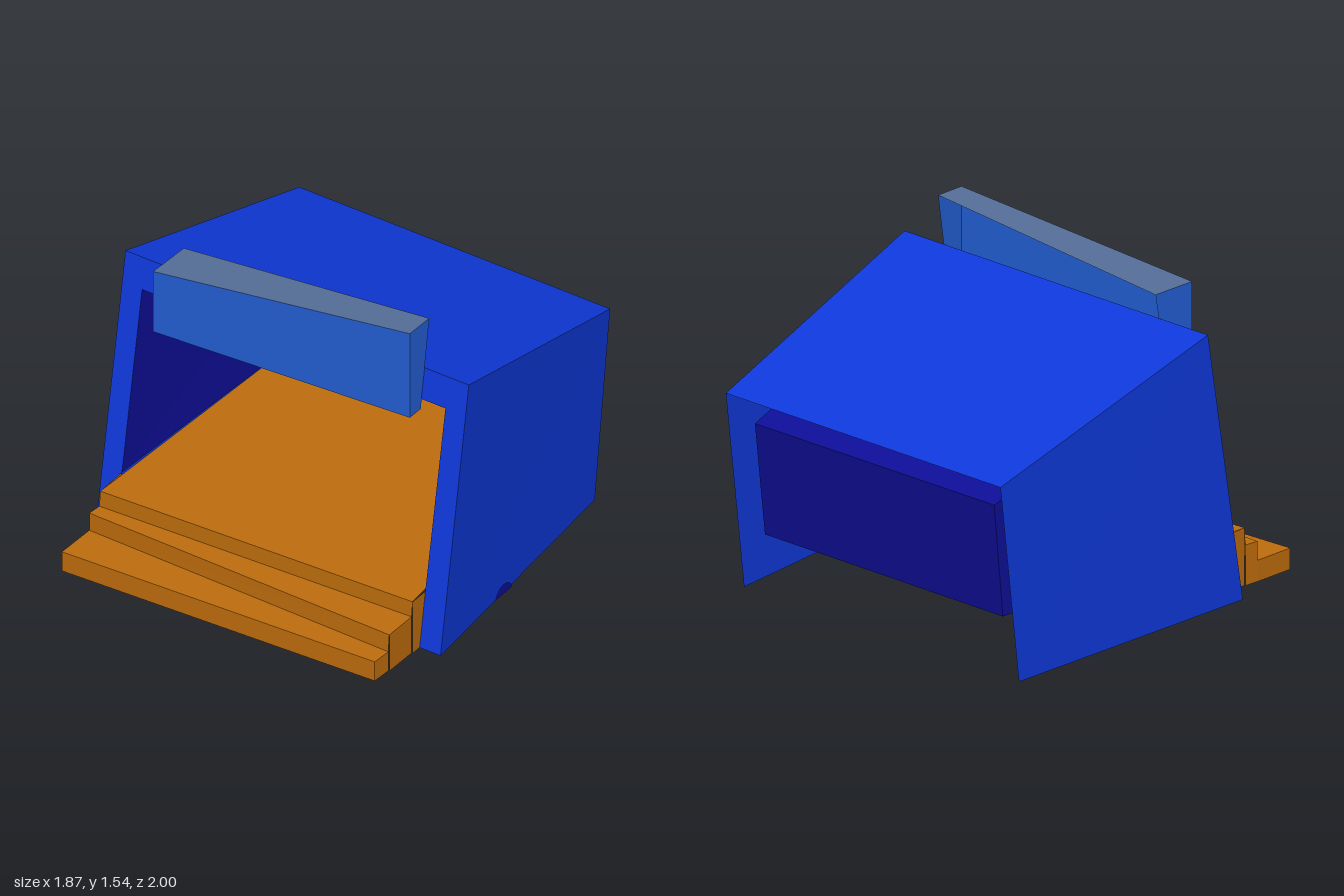
import * as THREE from 'three';

const mat = (name, color) => {
  const m = new THREE.MeshStandardMaterial({ color, side: THREE.DoubleSide });
  m.name = name;
  return m;
};

// Mesh made of flat four-cornered panels, corners anticlockwise from outside
function panels(name, material, quads) {
  const pos = [];
  for (const [a, b, c, d] of quads) pos.push(...a, ...b, ...c, ...a, ...c, ...d);
  const g = new THREE.BufferGeometry();
  g.setAttribute('position', new THREE.Float32BufferAttribute(pos, 3));
  g.computeVertexNormals();
  const mesh = new THREE.Mesh(g, material);
  mesh.name = name;
  return mesh;
}

// Point on the leaning, slightly turned front plane
const onFront = (x, y) => [x, y, 0.38 + 0.087 * x + 0.169 * (1.3 - y)];

export function createModel() {
  const blue = mat('shell blue', 0x0f39dc);
  const indigo = mat('interior indigo', 0x0e0e98);
  const orange = mat('stage orange', 0xbf6d0d);
  const signBlue = mat('sign blue', 0x235fd4);
  const slate = mat('sign top slate', 0x556f99);
  const group = new THREE.Group();
  group.name = 'bandstand';

  // Outer shell corners: front/back, top/bottom, left (+x) / right (-x)
  const ftr = onFront(-0.915, 1.3), ftl = onFront(0.93, 1.3);
  const fbr = onFront(-0.935, 0), fbl = onFront(0.915, 0);
  const btr = [-0.80, 0.94, -1.0], btl = [0.87, 0.94, -0.855];
  const bbr = [-0.815, 0, -0.89], bbl = [0.86, 0, -0.74];
  group.add(panels('roof', blue, [[ftr, ftl, btl, btr]]));
  group.add(panels('leftWall', blue, [[fbl, bbl, btl, ftl]]));
  group.add(panels('rightWall', blue, [[bbr, fbr, ftr, btr]]));

  // Front frame around the opening
  const otr = onFront(-0.81, 1.15), otl = onFront(0.82, 1.15);
  const obr = onFront(-0.83, 0), obl = onFront(0.80, 0);
  group.add(panels('frontFrame', blue, [
    [otr, otl, ftl, ftr],
    [fbr, obr, otr, ftr],
    [obl, fbl, ftl, otl],
  ]));

  // Inner room, open at the front, narrowing to the back
  const ifr = onFront(-0.826, 0.27), ifl = onFront(0.805, 0.27);
  const itr = [-0.70, 0.81, -0.92], itl = [0.75, 0.81, -0.80];
  const ibr = [-0.70, 0.27, -0.86], ibl = [0.75, 0.27, -0.73];
  group.add(panels('innerCeiling', indigo, [[otr, otl, itl, itr]]));
  group.add(panels('innerWalls', indigo, [[ifr, otr, itr, ibr], [ifl, ibl, itl, otl]]));
  group.add(panels('backPanel', indigo, [[ibl, ibr, itr, itl]]));

  // Stage floor with steps: one profile per end, joined by strips
  const right = [
    [-0.86, 0, 0.94], [-0.86, 0.10, 0.94], [-0.845, 0.10, 0.73], [-0.845, 0.19, 0.73],
    [-0.835, 0.19, 0.66], [-0.83, 0.27, 0.66], ibr,
  ];
  const left = [
    [0.77, 0, 1.0], [0.77, 0.10, 1.0], [0.78, 0.10, 0.90], [0.785, 0.19, 0.90],
    [0.795, 0.19, 0.725], [0.80, 0.27, 0.725], ibl,
  ];
  const strips = [];
  for (let i = 0; i < 6; i++) strips.push([right[i], left[i], left[i + 1], right[i + 1]]);
  group.add(panels('stageAndSteps', orange, strips));

  // Closed step ends
  const ground = (p) => [p[0], 0, p[2]];
  const ends = [];
  for (const [side, front] of [[right, ifr], [left, ifl]]) {
    for (const i of [1, 3, 5]) {
      const a = side[i], b = i === 5 ? front : side[i + 1];
      ends.push(side === left ? [a, ground(a), ground(b), b] : [b, ground(b), ground(a), a]);
    }
  }
  group.add(panels('stepEnds', orange, ends));

  // Sign board over the opening, open at the back
  const s = {
    fbr: [-0.635, 1.10, 0.535], fbl: [0.685, 1.10, 0.555],
    ftr: [-0.635, 1.415, 0.535], ftl: [0.685, 1.54, 0.555],
    bbr: [-0.62, 1.10, 0.36], bbl: [0.69, 1.10, 0.47],
    btr: [-0.615, 1.415, 0.305], btl: [0.695, 1.54, 0.405],
  };
  group.add(panels('signBoard', signBlue, [
    [s.fbr, s.fbl, s.ftl, s.ftr],
    [s.fbl, s.bbl, s.btl, s.ftl],
    [s.bbr, s.fbr, s.ftr, s.btr],
    [s.bbr, s.bbl, s.fbl, s.fbr],
  ]));
  group.add(panels('signTop', slate, [[s.ftr, s.ftl, s.btl, s.btr]]));

  // Small half-round plate at the foot of the left wall
  const plate = new THREE.Mesh(new THREE.CircleGeometry(0.065, 12, 0, Math.PI), indigo);
  plate.name = 'footPlate';
  plate.scale.y = 0.75;
  plate.rotation.y = Math.PI / 2 - 0.04;
  plate.position.set(0.899, 0, 0.11);
  group.add(plate);

  return group;
}
